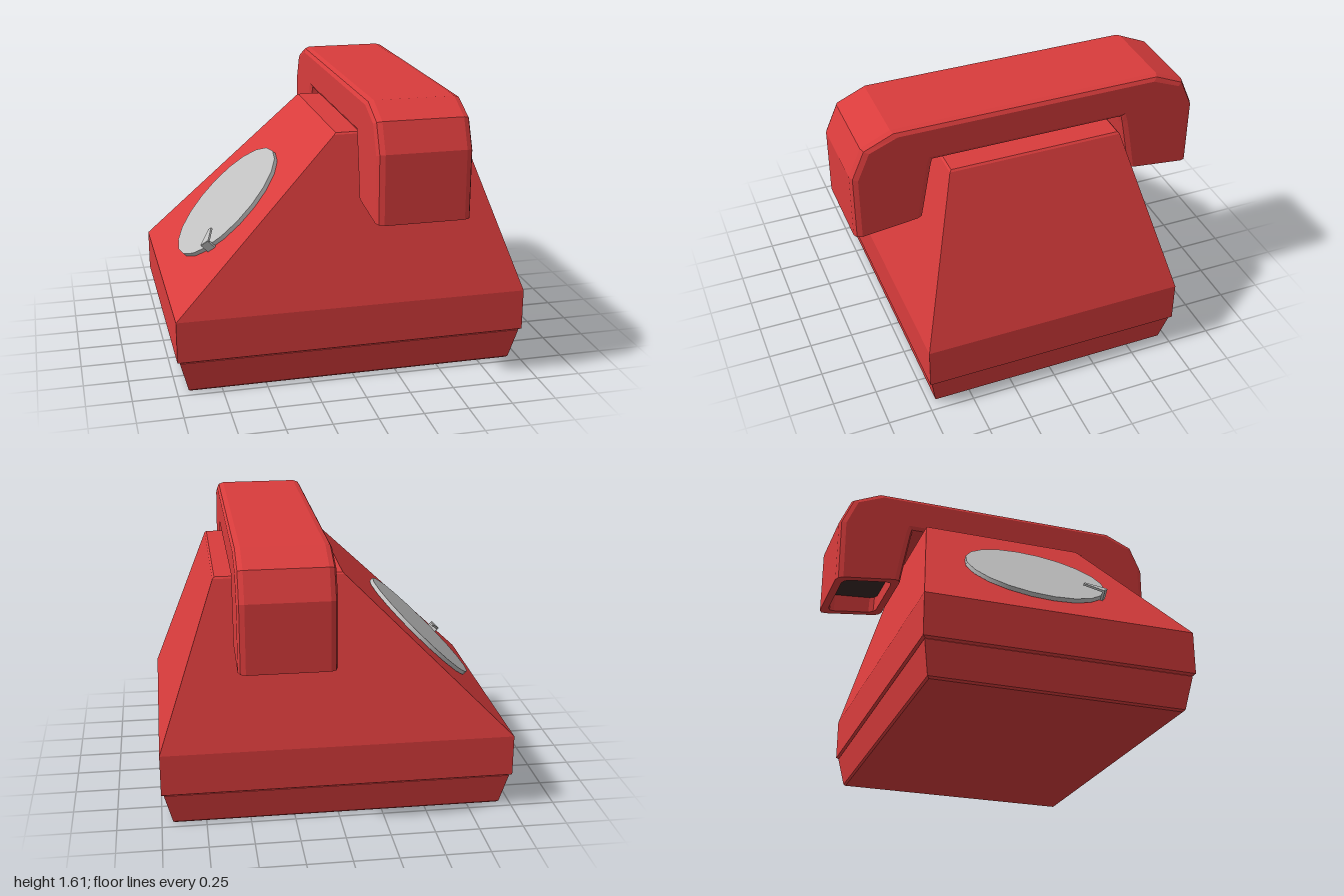
import * as THREE from 'three';

const red = new THREE.MeshStandardMaterial({ color: 0xd93c3c });
red.name = 'red shell';
const grey = new THREE.MeshStandardMaterial({ color: 0xc0c0c0 });
grey.name = 'grey metal';
const dark = new THREE.MeshStandardMaterial({ color: 0x3a2a28 });
dark.name = 'dark cup';

// Flat-faced skin through rings of equal point count, closed at both ends.
// Rings run counter-clockwise around the direction of travel.
function loft(rings) {
  const pos = [];
  const tri = (a, b, c) => pos.push(...a, ...b, ...c);
  const n = rings[0].length;
  for (let k = 0; k < rings.length - 1; k++) {
    const a = rings[k], b = rings[k + 1];
    for (let i = 0; i < n; i++) {
      const j = (i + 1) % n;
      tri(a[i], a[j], b[j]);
      tri(a[i], b[j], b[i]);
    }
  }
  const first = rings[0], last = rings[rings.length - 1];
  for (let i = 1; i < n - 1; i++) {
    tri(first[0], first[i + 1], first[i]);
    tri(last[0], last[i], last[i + 1]);
  }
  const g = new THREE.BufferGeometry();
  g.setAttribute('position', new THREE.Float32BufferAttribute(pos, 3));
  g.computeVertexNormals();
  return g;
}

function add(parent, name, geometry, material) {
  const mesh = new THREE.Mesh(geometry, material);
  mesh.name = name;
  parent.add(mesh);
  return mesh;
}

// Horizontal rectangle used by the body
const rect = (y, x0, x1, z) => [[x0, y, z], [x1, y, z], [x1, y, -z], [x0, y, -z]];

// Handset section with softened corners, spanning outer point to inner point
const MID_X = 0.308;
function section([zo, yo, zi, yi], side, half = 0.262) {
  const len = Math.hypot(zo - zi, yo - yi);
  const c = [[0.04, 0], [0.012, 0.012], [0, 0.04]]; // corner: x inset, depth inset
  const pts = [];
  const corner = (sx, inner, list) => list.forEach(([dx, dt]) => {
    const t = (inner ? len - dt : dt) / len;
    pts.push([MID_X + sx * (half - dx), yo + (yi - yo) * t, side * (zo + (zi - zo) * t)]);
  });
  const r = [...c].reverse();
  corner(1, true, r);
  corner(-1, true, c);
  corner(-1, false, r);
  corner(1, false, c);
  return pts;
}

export function createModel() {
  const model = new THREE.Group();
  model.name = 'telephone';

  // Tapered base and sloping shell with a narrow groove between them
  add(model, 'base', loft([
    rect(0, -0.925, 0.925, 0.695),
    rect(0.01, -0.937, 0.937, 0.706),
    rect(0.186, -0.982, 0.982, 0.738),
    rect(0.192, -0.975, 0.975, 0.73),
  ]), red);
  add(model, 'shell', loft([
    rect(0.19, -0.985, 0.985, 0.738),
    rect(0.198, -0.997, 0.997, 0.75),
    rect(0.435, -0.997, 0.997, 0.75),
    rect(1.355, -0.06, 0.667, 0.493),
    rect(1.365, -0.05, 0.657, 0.483),
  ]), red);

  // Handset: arched bar with a recessed cup at each end
  const arch = [
    [1, 0.985, 0.61, 1.03],
    [1, 1.37, 0.575, 1.22],
    [0.93, 1.53, 0.553, 1.34],
    [0.765, 1.605, 0.545, 1.38],
  ];
  const cupFloor = [0.95, 1.11, 0.65, 1.13];
  const cupRim = [0.955, 0.99, 0.655, 1.025];
  const endRings = (side) => [
    section(cupFloor, side, 0.22),
    section(cupRim, side, 0.22),
    ...arch.map((p) => section(p, side)),
  ];
  const handset = new THREE.Group();
  handset.name = 'handset';
  model.add(handset);
  add(handset, 'handsetBar', loft([...endRings(1), ...endRings(-1).reverse()]), red);
  for (const side of [1, -1]) {
    const low = section([0.95, 1.104, 0.65, 1.124], side, 0.22);
    const high = section([0.95, 1.112, 0.65, 1.132], side, 0.22);
    const plate = loft(side > 0 ? [low, high] : [high, low]);
    add(handset, side > 0 ? 'frontCupFloor' : 'backCupFloor', plate, dark);
  }

  // Dial lying on the slope
  const dial = new THREE.Group();
  dial.name = 'dial';
  dial.position.set(-0.59, 0.855, 0);
  dial.rotation.z = Math.atan2(0.92, 0.937);
  model.add(dial);
  add(dial, 'dialPlate', new THREE.CylinderGeometry(0.403, 0.403, 0.024, 20), grey);

  // Finger stop: tapered arm reaching inward from a small foot at the rim
  const stop = new THREE.Group();
  stop.name = 'fingerStop';
  stop.rotation.y = -Math.atan2(0.34, -0.215);
  dial.add(stop);
  const outline = new THREE.Shape();
  outline.moveTo(0.285, -0.012);
  outline.lineTo(0.41, -0.032);
  outline.lineTo(0.41, 0.032);
  outline.lineTo(0.285, 0.012);
  const arm = new THREE.ExtrudeGeometry(outline, { depth: 0.012, bevelEnabled: false });
  arm.rotateX(-Math.PI / 2);
  add(stop, 'stopArm', arm, grey).position.y = 0.032;
  const foot = add(stop, 'stopFoot', new THREE.BoxGeometry(0.014, 0.06, 0.06), grey);
  foot.position.set(0.408, 0.012, 0);

  return model;
}
